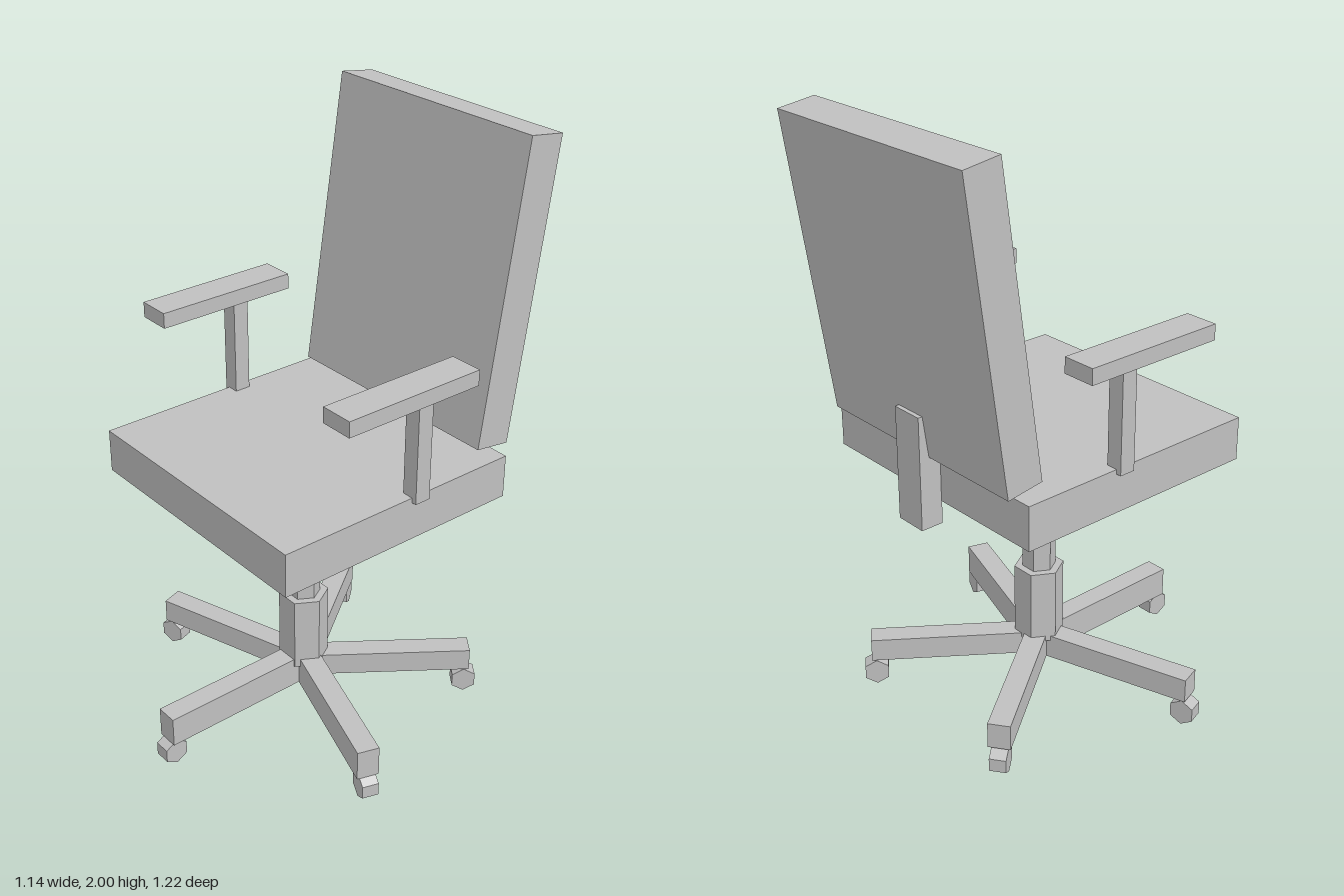
import * as THREE from 'three';

export function createModel() {
  const chair = new THREE.Group();
  chair.name = 'officeChair';
  const grey = new THREE.MeshStandardMaterial({ color: 0xc0c0c0 });
  grey.name = 'grey';
  grey.flatShading = true;

  const add = (parent, name, geometry, x, y, z) => {
    const mesh = new THREE.Mesh(geometry, grey);
    mesh.name = name;
    mesh.position.set(x, y, z);
    parent.add(mesh);
    return mesh;
  };
  const box = (w, h, d) => new THREE.BoxGeometry(w, h, d);
  // Hexagonal prism with corners on the x axis
  const hex = (r, h) => new THREE.CylinderGeometry(r, r, h, 6, 1, false, Math.PI / 6);

  // Seat, reclined backrest and the bracket joining them
  add(chair, 'seat', box(0.914, 0.146, 0.875), 0, 0.918, 0.0125);
  add(chair, 'backrest', box(0.834, 0.985, 0.128), 0, 1.503, -0.473).rotation.x = -0.142;
  add(chair, 'backBracket', box(0.112, 0.376, 0.078), 0, 0.957, -0.462);

  // Armrests
  for (const side of [-1, 1]) {
    add(chair, 'armPost', box(0.056, 0.35, 0.055), side * 0.446, 1.15, -0.057);
    add(chair, 'armPad', box(0.113, 0.052, 0.496), side * 0.448, 1.346, 0.0135);
  }

  // Star base on casters, with the telescopic column at its centre
  const base = new THREE.Group();
  base.name = 'base';
  base.position.z = 0.017;
  chair.add(base);
  add(base, 'upperColumn', hex(0.056, 0.43), 0, 0.635, 0);
  add(base, 'lowerColumn', hex(0.083, 0.262), 0, 0.294, 0);

  // Slightly different leg heights keep the overlapping tops apart
  [0.104, 0.106, 0.079, 0.088, 0.083].forEach((height, i) => {
    const leg = new THREE.Group();
    leg.name = 'legWithCaster';
    leg.rotation.y = i * Math.PI * 2 / 5;
    add(leg, 'leg', box(0.074, height, 0.568), 0, 0.138, 0.284);
    add(leg, 'caster', hex(0.045, 0.055), 0, 0.045, 0.553).rotation.z = Math.PI / 2;
    base.add(leg);
  });

  return chair;
}
